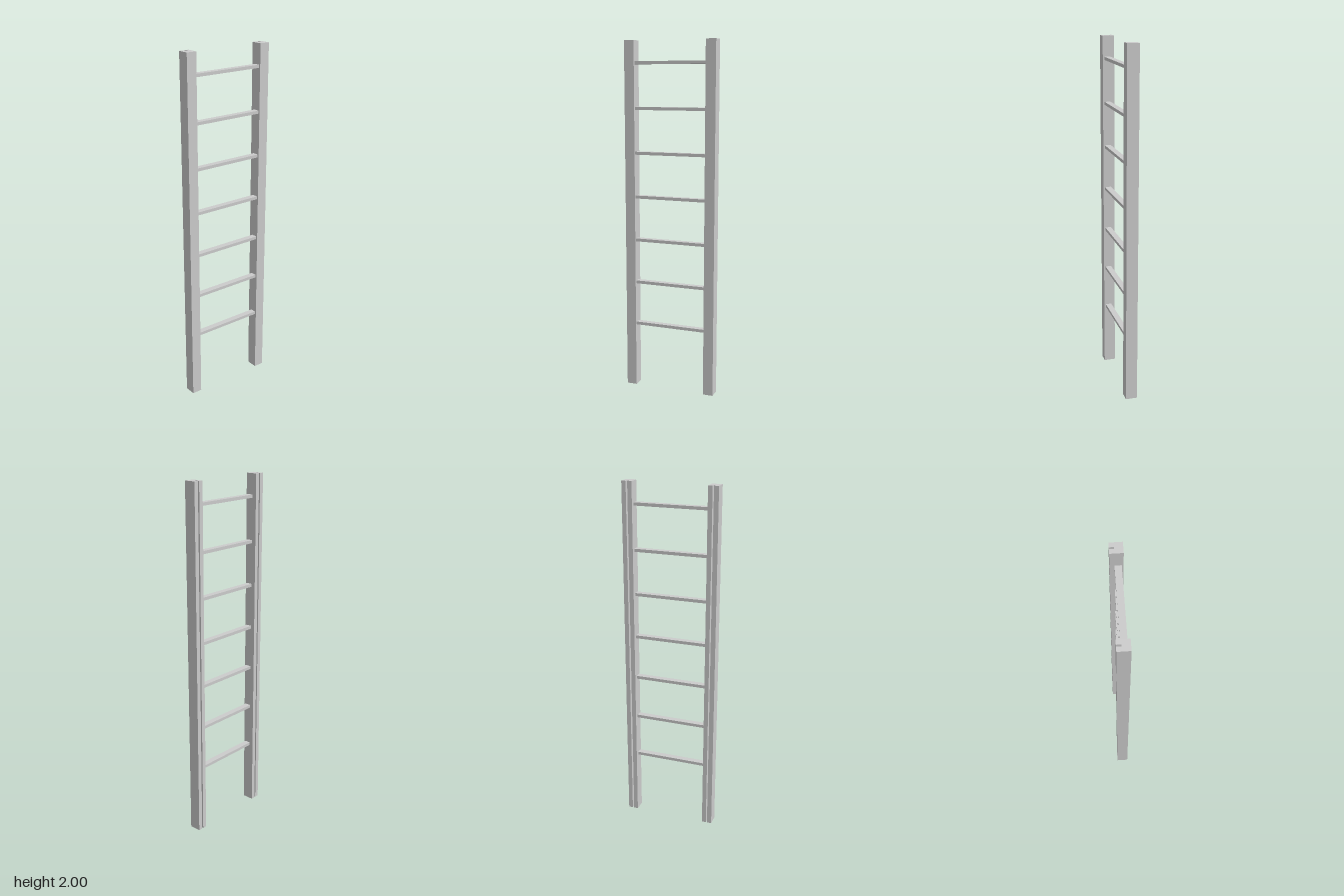
import * as THREE from 'three';

const material = new THREE.MeshStandardMaterial({ color: 0xcccccc });

// Upright with a narrow groove running down the middle of its back
function makeRail(name, x) {
  const w = 0.029, d = 0.033, slot = 0.0045, slotDepth = 0.024;
  const profile = new THREE.Shape([
    [-w, -d], [w, -d], [w, d], [slot, d],
    [slot, d - slotDepth], [-slot, d - slotDepth], [-slot, d], [-w, d],
  ].map(([px, py]) => new THREE.Vector2(px, py)));
  const geometry = new THREE.ExtrudeGeometry(profile, { depth: 2, bevelEnabled: false });
  geometry.rotateX(-Math.PI / 2); // extrude upward, groove facing -z
  const rail = new THREE.Mesh(geometry, material);
  rail.name = name;
  rail.position.x = x;
  return rail;
}

export function createModel() {
  const ladder = new THREE.Group();
  ladder.name = 'ladder';

  ladder.add(makeRail('leftRail', 0.238), makeRail('rightRail', -0.238));

  // Seven evenly spaced flat rungs
  const rungGeometry = new THREE.BoxGeometry(0.42, 0.017, 0.034);
  for (let i = 0; i < 7; i++) {
    const rung = new THREE.Mesh(rungGeometry, material);
    rung.name = `rung${i + 1}`;
    rung.position.set(0, 0.378 + i * 0.25, 0.007);
    ladder.add(rung);
  }
  return ladder;
}
